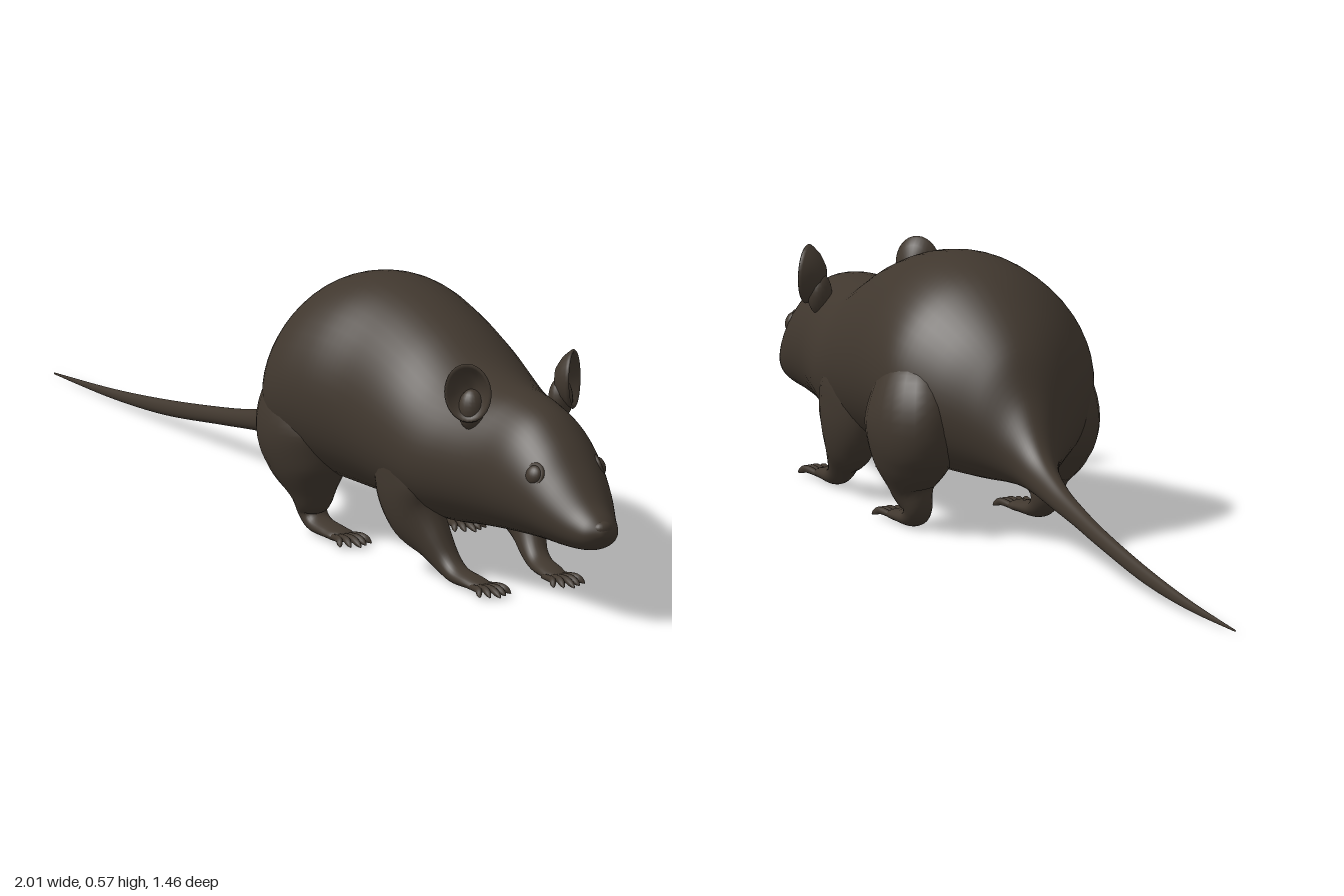
import * as THREE from 'three';

const fur = new THREE.MeshStandardMaterial({ color: 0x40372e });
fur.name = 'dark brown fur';

// Smooth interpolation through rows of numbers, u in 0..rows-1
function sample(rows, u) {
  const i = Math.min(Math.floor(u), rows.length - 2), f = u - i;
  const at = k => rows[Math.max(0, Math.min(rows.length - 1, k))];
  const [a, b, c, d] = [at(i - 1), at(i), at(i + 1), at(i + 2)];
  return b.map((_, k) => b[k] + 0.5 * f * (c[k] - a[k]
    + f * (2 * a[k] - 5 * b[k] + 4 * c[k] - d[k] + f * (3 * (b[k] - c[k]) + d[k] - a[k]))));
}

// Skin over a list of closed rings of points
function skin(rings) {
  const n = rings[0].length, pos = [], idx = [];
  rings.forEach(r => r.forEach(p => pos.push(p.x, p.y, p.z)));
  for (let i = 0; i < rings.length - 1; i++) {
    for (let j = 0; j < n; j++) {
      const a = i * n + j, b = i * n + (j + 1) % n;
      idx.push(a, a + n, b, b, a + n, b + n);
    }
  }
  const g = new THREE.BufferGeometry();
  g.setAttribute('position', new THREE.Float32BufferAttribute(pos, 3));
  g.setIndex(idx);
  g.computeVertexNormals();
  return g;
}

// Body and tail: upright rings from rows [x, bottom, top, halfWidth, sideShift]
function bodyGeometry(rows, steps, sides) {
  const rings = [];
  for (let i = 0; i <= (rows.length - 1) * steps; i++) {
    const [x, y0, y1, w, shift] = sample(rows, i / steps);
    const ring = [];
    for (let j = 0; j < sides; j++) {
      const a = j / sides * Math.PI * 2, s = Math.sin(a);
      ring.push(new THREE.Vector3(x, (y0 + y1) / 2 + (y1 - y0) / 2 * s,
        shift + Math.max(w, 0) * Math.cos(a) * (1 - 0.1 * s)));
    }
    rings.push(ring);
  }
  return skin(rings);
}

// Limb: rings square to a path of rows [x, y, z, depthRadius, sideRadius]
function limbGeometry(rows, steps, sides) {
  const rings = [], last = rows.length - 1, Z = new THREE.Vector3(0, 0, 1);
  for (let i = 0; i <= last * steps; i++) {
    const u = i / steps;
    const [x, y, z, ru, rs] = sample(rows, u);
    const p = sample(rows, Math.max(0, u - 0.1)), q = sample(rows, Math.min(last, u + 0.1));
    const T = new THREE.Vector3(q[0] - p[0], q[1] - p[1], q[2] - p[2]).normalize();
    const up = Z.clone().cross(T).normalize(), side = T.clone().cross(up);
    const ring = [];
    for (let j = 0; j < sides; j++) {
      const a = j / sides * Math.PI * 2;
      ring.push(new THREE.Vector3(x, y, z)
        .addScaledVector(side, rs * Math.cos(a)).addScaledVector(up, ru * Math.sin(a)));
    }
    rings.push(ring);
  }
  return skin(rings);
}

const BODY = [
  [-1.238, 0.004, 0.008, 0.001, -0.014], [-0.98, 0.009, 0.03, 0.009, -0.013],
  [-0.74, 0.026, 0.06, 0.013, -0.011], [-0.5, 0.06, 0.098, 0.016, -0.007],
  [-0.35, 0.083, 0.127, 0.019, -0.002], [-0.23, 0.1, 0.16, 0.025, 0.001],
  [-0.13, 0.115, 0.21, 0.038, 0.005], [-0.06, 0.12, 0.3, 0.068, 0.012],
  [0, 0.12, 0.41, 0.122, 0.016], [0.08, 0.115, 0.49, 0.188, 0.017],
  [0.18, 0.112, 0.55, 0.235, 0.014], [0.3, 0.112, 0.573, 0.233, 0.01],
  [0.43, 0.11, 0.557, 0.212, 0.005], [0.56, 0.108, 0.517, 0.2, 0.005],
  [0.68, 0.112, 0.462, 0.186, 0.004], [0.78, 0.125, 0.442, 0.16, 0.002],
  [0.88, 0.135, 0.435, 0.133, 0], [0.97, 0.143, 0.415, 0.118, 0],
  [1.04, 0.148, 0.372, 0.103, 0], [1.1, 0.15, 0.318, 0.085, 0],
  [1.16, 0.155, 0.262, 0.06, 0], [1.2, 0.167, 0.235, 0.042, 0],
  [1.222, 0.19, 0.215, 0.015, 0], [1.226, 0.2, 0.205, 0, 0],
];
const HIND = [
  [0.21, 0.4, 0.13, 0.01, 0.01], [0.205, 0.34, 0.145, 0.1, 0.07], [0.19, 0.24, 0.16, 0.14, 0.095],
  [0.2, 0.155, 0.16, 0.115, 0.08], [0.205, 0.09, 0.155, 0.06, 0.048],
  [0.195, 0.048, 0.148, 0.034, 0.032], [0.22, 0.022, 0.145, 0.02, 0.03],
  [0.28, 0.016, 0.142, 0.014, 0.031], [0.315, 0.014, 0.14, 0.012, 0.029], [0.335, 0.012, 0.14, 0.003, 0.01],
];
const FORE = [
  [0.59, 0.34, 0.11, 0.01, 0.01], [0.59, 0.28, 0.125, 0.085, 0.06], [0.595, 0.2, 0.132, 0.105, 0.062],
  [0.62, 0.135, 0.128, 0.085, 0.055], [0.675, 0.08, 0.115, 0.048, 0.038],
  [0.715, 0.042, 0.105, 0.03, 0.029], [0.755, 0.022, 0.1, 0.02, 0.027],
  [0.81, 0.017, 0.094, 0.014, 0.028], [0.845, 0.013, 0.09, 0.011, 0.024], [0.86, 0.012, 0.09, 0.003, 0.01],
];

export function createModel() {
  const model = new THREE.Group();
  model.name = 'rat';
  const rat = new THREE.Group();
  rat.name = 'ratFacingDiagonal';
  rat.rotation.y = -0.618;
  model.add(rat);

  const add = (name, geometry, parent = rat) => {
    const mesh = new THREE.Mesh(geometry, fur);
    mesh.name = name;
    parent.add(mesh);
    return mesh;
  };

  add('bodyAndTail', bodyGeometry(BODY, 6, 48));

  // Nose pad
  const nose = add('nose', new THREE.SphereGeometry(1, 20, 14));
  nose.scale.set(0.018, 0.016, 0.022);
  nose.position.set(1.207, 0.212, 0);

  // Cupped ear with a rolled rim, opening along +z
  const cup = [[0, -0.04], [0.022, -0.036], [0.042, -0.018], [0.053, 0], [0.056, 0.007],
    [0.053, 0.011], [0.048, 0.007], [0.038, -0.01], [0.02, -0.026], [0, -0.03]];
  const earShape = new THREE.LatheGeometry(cup.map(p => new THREE.Vector2(...p)), 32);
  earShape.rotateX(Math.PI / 2).scale(0.95, 1.15, 0.85);

  for (const side of [1, -1]) {
    const label = side > 0 ? 'right' : 'left';

    // Ear on a short fleshy base
    const ear = new THREE.Group();
    ear.name = label + 'Ear';
    ear.position.set(0.842, 0.445, side * 0.124);
    ear.quaternion.setFromUnitVectors(new THREE.Vector3(0, 0, 1),
      new THREE.Vector3(0.68, 0.03, side * 0.73).normalize());
    add('earCup', earShape, ear);
    const base = add('earBase', new THREE.SphereGeometry(1, 20, 14), ear);
    base.scale.set(0.03, 0.045, 0.026);
    base.position.set(0, -0.042, -0.022);
    rat.add(ear);

    // Eye with a thin lid around it
    const eye = new THREE.Group();
    eye.name = label + 'Eye';
    eye.position.set(1.05, 0.305, side * 0.079);
    eye.quaternion.setFromUnitVectors(new THREE.Vector3(0, 0, 1),
      new THREE.Vector3(0.4, 0.4, side).normalize());
    add('eyeball', new THREE.SphereGeometry(0.021, 20, 14), eye).scale.z = 0.65;
    add('eyelid', new THREE.TorusGeometry(0.022, 0.005, 8, 24), eye);
    rat.add(eye);

    // Legs with five fanned toes each
    for (const [name, rows] of [['HindLeg', HIND], ['FrontLeg', FORE]]) {
      const leg = new THREE.Group();
      leg.name = label + name;
      rat.add(leg);
      add('limb', limbGeometry(rows.map(r => [r[0], r[1], r[2] * side, r[3], r[4]]), 6, 24), leg);
      const [x, , z] = rows[rows.length - 1];
      for (let k = -2; k <= 2; k++) {
        const z0 = side * z + k * 0.01, reach = 0.062 - Math.abs(k) * 0.012;
        add('toe', limbGeometry([
          [x - 0.04, 0.012, z0, 0.006, 0.006],
          [x + reach * 0.3, 0.017, z0 + k * 0.004, 0.008, 0.007],
          [x + reach * 0.75, 0.012, z0 + k * 0.007, 0.007, 0.006],
          [x + reach, 0.006, z0 + k * 0.009, 0.001, 0.001],
        ], 4, 10), leg);
      }
    }
  }
  return model;
}
